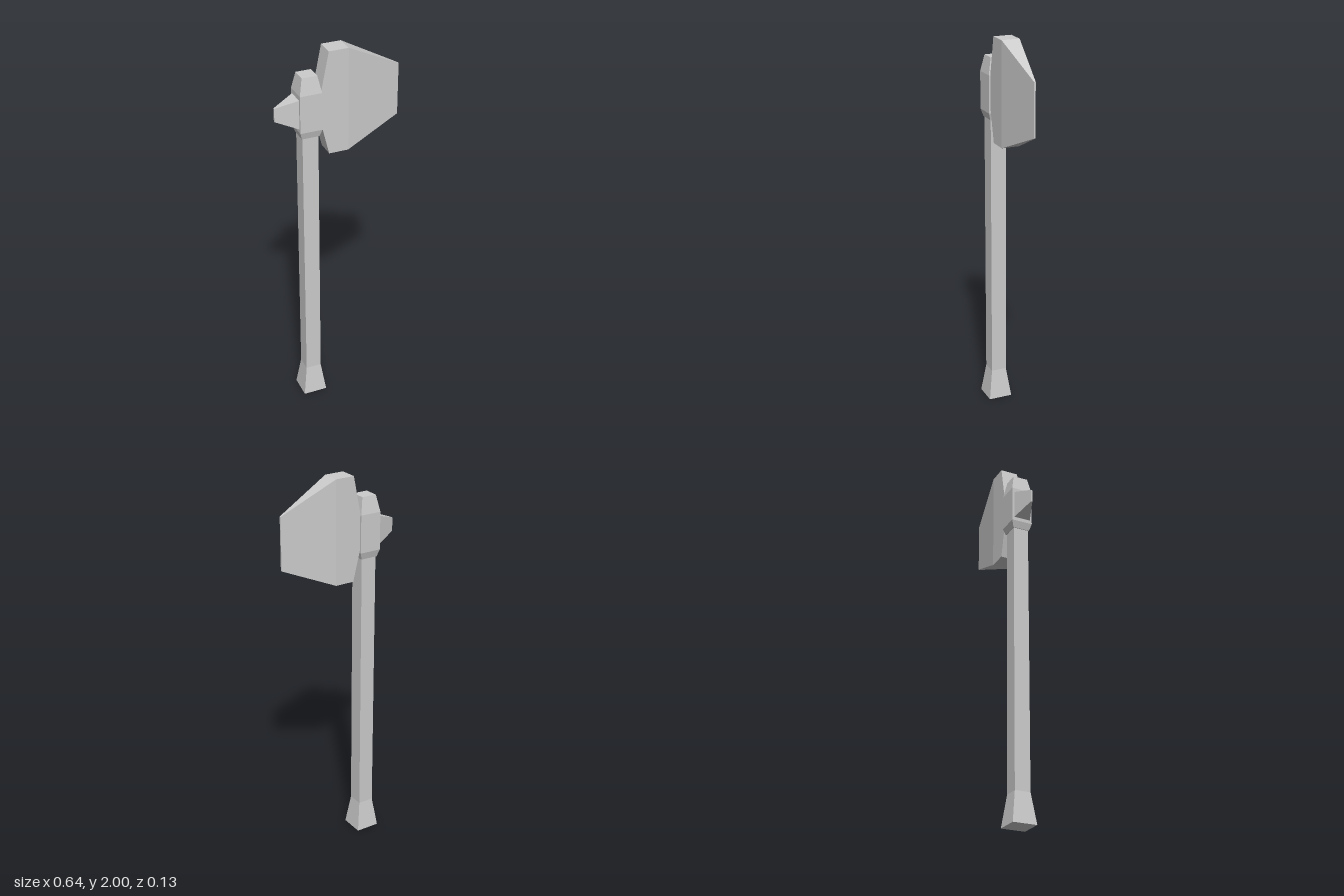
import * as THREE from 'three';

const material = new THREE.MeshStandardMaterial({ color: 0xcccccc, flatShading: true });
const SHAFT_X = -0.154;

// Skins four-cornered rings (counter-clockwise seen from the far end) and caps both ends.
function loft(name, rings) {
  const positions = [];
  const quad = (a, b, c, d) => positions.push(...a, ...b, ...c, ...a, ...c, ...d);
  for (let i = 0; i < rings.length - 1; i++) {
    const near = rings[i], far = rings[i + 1];
    for (let j = 0; j < 4; j++) {
      const k = (j + 1) % 4;
      quad(near[j], near[k], far[k], far[j]);
    }
  }
  const [a, b, c, d] = rings[0];
  quad(d, c, b, a);
  quad(...rings[rings.length - 1]);
  const geometry = new THREE.BufferGeometry();
  geometry.setAttribute('position', new THREE.Float32BufferAttribute(positions, 3));
  geometry.computeVertexNormals();
  const mesh = new THREE.Mesh(geometry, material);
  mesh.name = name;
  return mesh;
}

// Square ring around the shaft at height y, with half width h
const squareRing = ([y, h]) =>
  [[h, h], [h, -h], [-h, -h], [-h, h]].map(([x, z]) => [SHAFT_X + x, y, z]);

// Upright rectangular ring at x, from y0 to y1, with half thickness t
const uprightRing = ([x, y0, y1, t]) =>
  [[x, y0, t], [x, y0, -t], [x, y1, -t], [x, y1, t]];

export function createModel() {
  const group = new THREE.Group();
  group.name = 'axe';

  group.add(
    // Shaft with flared foot
    loft('handle', [[0, 0.063], [0.16, 0.041], [1.6, 0.041]].map(squareRing)),
    // Block joining blade and spike, chamfered at top and bottom
    loft('collar', [[1.57, 0.045], [1.607, 0.056], [1.8, 0.056], [1.885, 0.039]].map(squareRing)),
    // Broad blade, thinning to its cutting edge
    loft('blade', [
      [-0.1, 1.63, 1.8, 0.047],
      [-0.06, 1.465, 2.0, 0.047],
      [0.04, 1.465, 2.0, 0.047],
      [0.32, 1.585, 1.855, 0.004],
    ].map(uprightRing)),
    // Small wedge behind the head
    loft('rearSpike', [
      [-0.32, 1.668, 1.737, 0.004],
      [-0.208, 1.625, 1.777, 0.045],
    ].map(uprightRing)),
  );
  return group;
}
